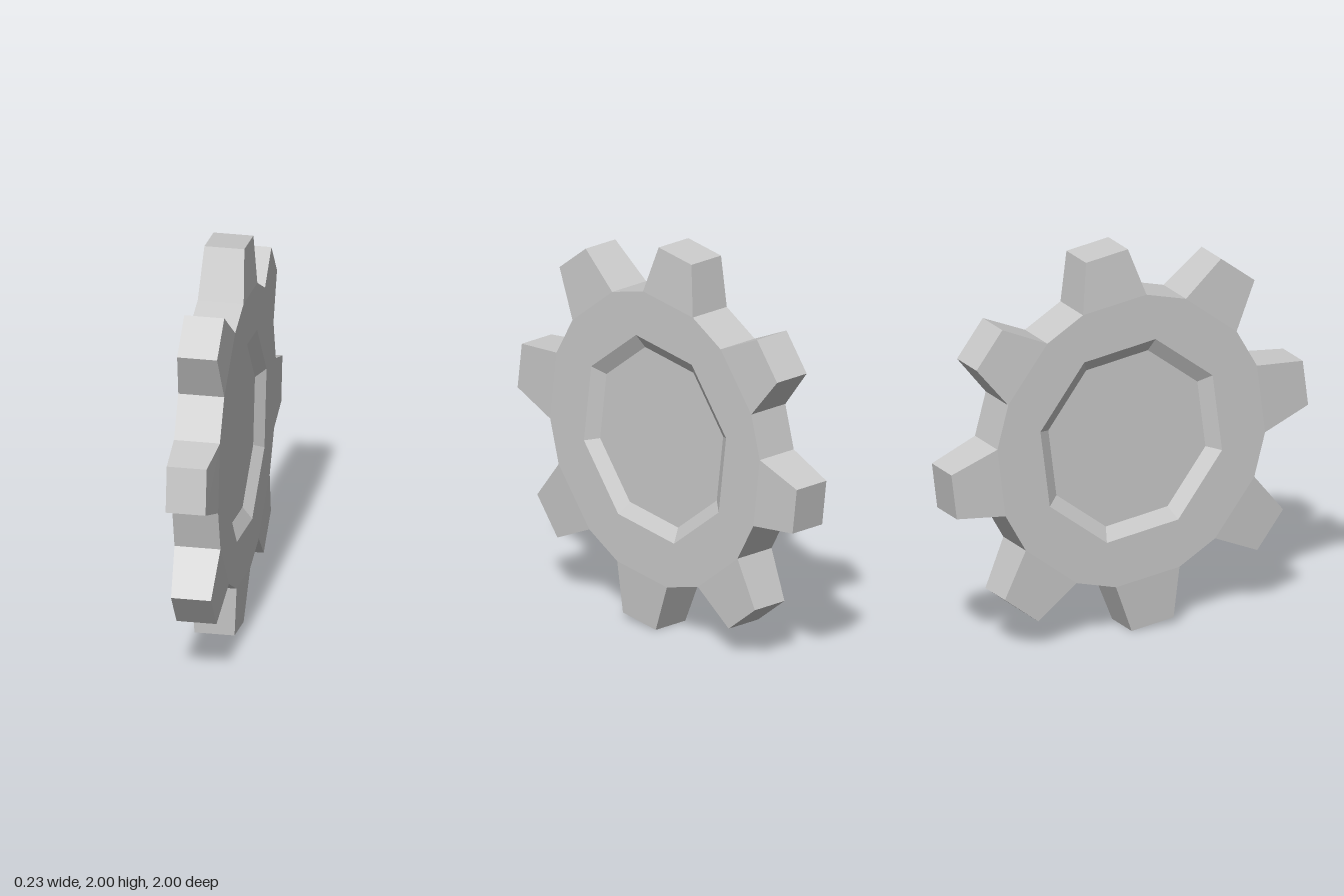
import * as THREE from 'three';

const TEETH = 8;
const HUB_X = 0.115, TIP_X = 0.1, FLOOR_X = 0.07; // half thicknesses

// point at a radius and clockwise angle from the top, seen from +x
function polar(radius, degrees, x) {
  const a = THREE.MathUtils.degToRad(degrees);
  return [x, Math.cos(a) * radius, -Math.sin(a) * radius];
}

const mirror = ([x, y, z]) => [-x, y, z];

// fan of triangles over a convex, counter-clockwise polygon
function addPolygon(out, pts) {
  for (let i = 1; i < pts.length - 1; i++) out.push(...pts[0], ...pts[i], ...pts[i + 1]);
}

// clockwise polygon on the +x side and its mirror on the -x side
function addBothSides(out, pts) {
  addPolygon(out, [...pts].reverse());
  addPolygon(out, pts.map(mirror));
}

// rim quads along an outline, joining the two sides
function addRim(out, pts) {
  for (let i = 0; i < pts.length - 1; i++) {
    const p = pts[i], q = pts[i + 1];
    addPolygon(out, [p, q, mirror(q), mirror(p)]);
  }
}

function makeMesh(name, positions, material) {
  const geometry = new THREE.BufferGeometry();
  geometry.setAttribute('position', new THREE.Float32BufferAttribute(positions, 3));
  geometry.computeVertexNormals();
  const mesh = new THREE.Mesh(geometry, material);
  mesh.name = name;
  mesh.position.y = 1;
  return mesh;
}

export function createModel() {
  const group = new THREE.Group();
  group.name = 'gear';
  const material = new THREE.MeshStandardMaterial({ color: 0xcccccc, flatShading: true });
  const hub = [], recess = [], recessFloor = [];

  for (let i = 0; i < TEETH; i++) {
    const a = (i * 360) / TEETH, step = 360 / TEETH;
    const rootA = polar(0.755, a - 6.5, HUB_X), rootB = polar(0.755, a + 21, HUB_X);
    const nextRoot = polar(0.755, a + step - 6.5, HUB_X);
    const tipA = polar(1, a + 0.6, TIP_X), tipB = polar(1, a + 14.2, TIP_X);
    const lipA = polar(0.527, a - 15, HUB_X), lipB = polar(0.527, a - 15 + step, HUB_X);
    const floorA = polar(0.456, a - 15, FLOOR_X), floorB = polar(0.456, a - 15 + step, FLOOR_X);

    // flat ring and the valley floor between teeth
    addBothSides(hub, [lipA, rootA, rootB, lipB]);
    addBothSides(hub, [lipB, rootB, nextRoot]);
    addRim(hub, [rootB, nextRoot]);

    // sloped wall of the octagonal recess
    addBothSides(recess, [floorA, lipA, lipB, floorB]);
    recessFloor.push(floorA);

    // tapered tooth
    const tooth = [];
    addBothSides(tooth, [rootA, tipA, tipB, rootB]);
    addRim(tooth, [rootA, tipA, tipB, rootB]);
    group.add(makeMesh(`tooth${i + 1}`, tooth, material));
  }
  addBothSides(recess, recessFloor);

  group.add(makeMesh('hub', hub, material), makeMesh('recess', recess, material));
  return group;
}
